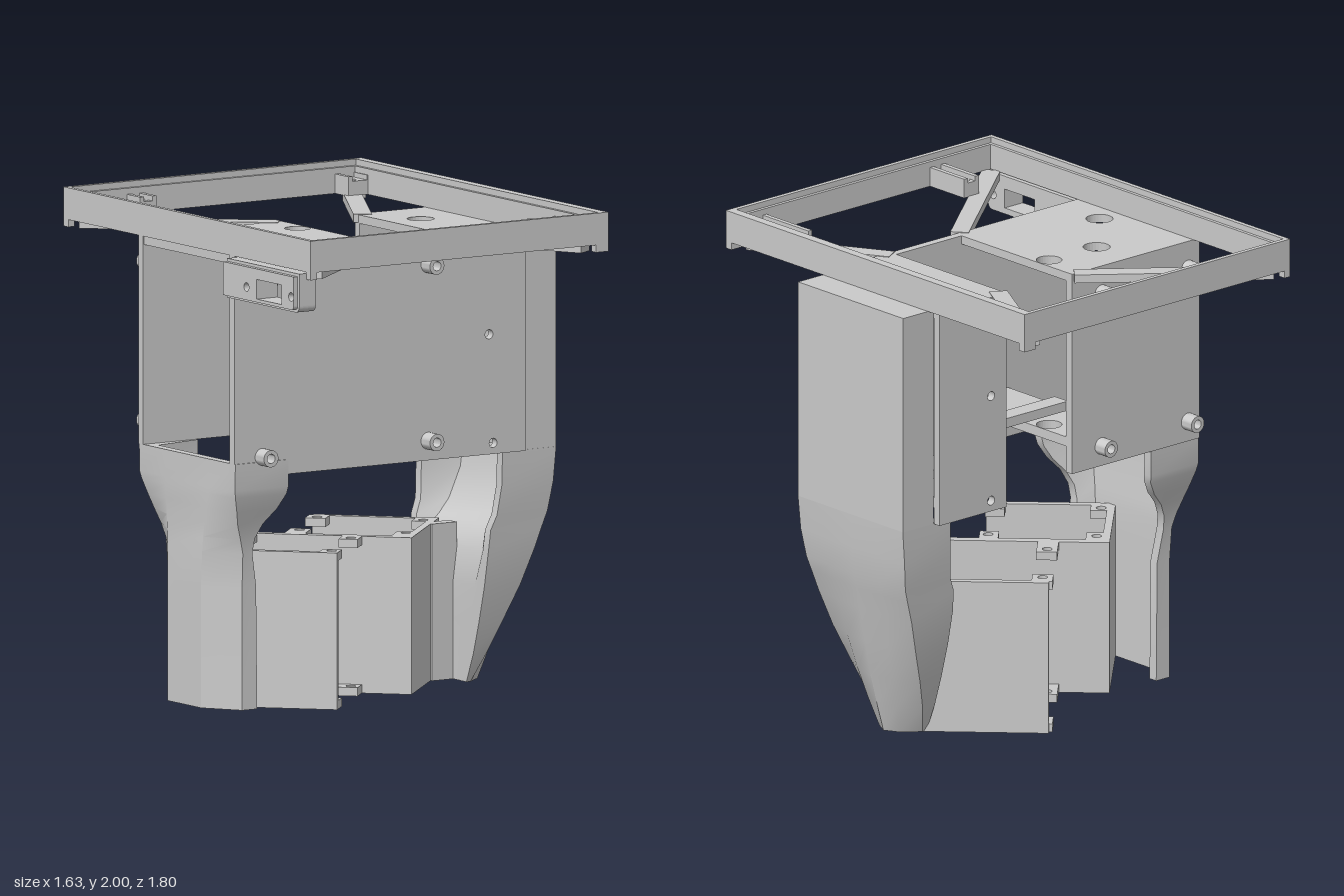
import * as THREE from 'three';
import { toCreasedNormals } from 'three/addons/utils/BufferGeometryUtils.js';

const grey = new THREE.MeshStandardMaterial({ color: 0xcacaca });
grey.name = 'plain grey';

function add(parent, name, geometry) {
  const mesh = new THREE.Mesh(geometry, grey);
  mesh.name = name;
  parent.add(mesh);
  return mesh;
}

function box(parent, name, x0, x1, y0, y1, z0, z1) {
  const g = new THREE.BoxGeometry(x1 - x0, y1 - y0, z1 - z0);
  return add(parent, name, g.translate((x0 + x1) / 2, (y0 + y1) / 2, (z0 + z1) / 2));
}

const points = list => list.map(p => new THREE.Vector2(...p));

// Rectangle with round holes, each [u, v, radius]
function sheet(u0, u1, v0, v1, holes, depth) {
  const s = new THREE.Shape(points([[u0, v0], [u1, v0], [u1, v1], [u0, v1]]));
  for (const [u, v, r] of holes) s.holes.push(new THREE.Path().absarc(u, v, r, 0, Math.PI * 2, true));
  return new THREE.ExtrudeGeometry(s, { depth, bevelEnabled: false, curveSegments: 14 });
}

// Horizontal plate; holes are [x, z, radius]
function plate(parent, name, x0, x1, z0, z1, y0, y1, holes) {
  const g = sheet(x0, x1, -z1, -z0, holes.map(([x, z, r]) => [x, -z, r]), y1 - y0);
  return add(parent, name, g.rotateX(-Math.PI / 2).translate(0, y0, 0));
}

// Upright panel facing z; holes are [x, y, radius]
function panel(parent, name, x0, x1, y0, y1, z0, z1, holes) {
  return add(parent, name, sheet(x0, x1, y0, y1, holes, z1 - z0).translate(0, 0, z0));
}

// Hollow screw boss along z
function boss(parent, x, y, z0, z1) {
  const s = new THREE.Shape().absarc(0, 0, 0.035, 0, Math.PI * 2, false);
  s.holes.push(new THREE.Path().absarc(0, 0, 0.019, 0, Math.PI * 2, true));
  const g = new THREE.ExtrudeGeometry(s, { depth: z1 - z0, bevelEnabled: false, curveSegments: 14 });
  add(parent, 'screwBoss', toCreasedNormals(g, 0.6).translate(x, y, z0));
}

// Solid skinned through level outlines, listed from the bottom up
function loft(parent, name, levels) {
  const pos = [];
  const n = levels[0].pts.length;
  const at = (i, j) => [levels[i].pts[j % n][0], levels[i].y, levels[i].pts[j % n][1]];
  const top = levels.length - 1;
  for (let i = 0; i < top; i++) {
    for (let j = 0; j < n; j++) {
      const a = at(i, j), b = at(i, j + 1), c = at(i + 1, j + 1), d = at(i + 1, j);
      pos.push(...a, ...b, ...c, ...a, ...c, ...d);
    }
  }
  const cap = i => THREE.ShapeUtils.triangulateShape(points(levels[i].pts.map(([x, z]) => [x, -z])), []);
  for (const [a, b, c] of cap(top)) pos.push(...at(top, a), ...at(top, b), ...at(top, c));
  for (const [a, b, c] of cap(0)) pos.push(...at(0, a), ...at(0, c), ...at(0, b));
  const g = new THREE.BufferGeometry();
  g.setAttribute('position', new THREE.Float32BufferAttribute(pos, 3));
  return add(parent, name, toCreasedNormals(g, 0.5));
}

// Side lug layer with a rectangular slot, inset by e
function slottedLug(parent, x0, x1, e) {
  const s = new THREE.Shape();
  s.moveTo(-0.345, 1.705 + e).lineTo(-0.345, 1.865 - e).lineTo(-0.87 + e, 1.865 - e).lineTo(-0.87 + e, 1.735);
  s.quadraticCurveTo(-0.87 + e, 1.705 + e, -0.84, 1.705 + e);
  s.holes.push(new THREE.Path(points([[-0.77, 1.73], [-0.77, 1.81], [-0.59, 1.81], [-0.59, 1.73]])));
  for (const u of [-0.84, -0.515]) s.holes.push(new THREE.Path().absarc(u, 1.77, 0.018, 0, Math.PI * 2, true));
  const g = new THREE.ExtrudeGeometry(s, { depth: x1 - x0, bevelEnabled: false });
  add(parent, 'slottedLug', g.rotateY(Math.PI / 2).translate(x0, 0, 0));
}

function buildFrame() {
  const g = new THREE.Group();
  g.name = 'topFrame';
  // Walls, with a lower ledge inside
  for (const [y1, t] of [[2, 0.02], [1.975, 0.035]]) {
    box(g, 'leftWall', -0.765, -0.765 + t, 1.87, y1, -0.9, 0.9);
    box(g, 'rightWall', 0.66 - t, 0.68, 1.87, y1, -0.9, 0.9);
    for (const s of [-1, 1]) {
      const a = s * 0.9, b = s * (0.9 - t);
      box(g, 'endWall', -0.765, 0.68, 1.87, y1, Math.min(a, b), Math.max(a, b));
    }
  }
  for (const s of [-1, 1]) {
    // Corner feet
    const z0 = s > 0 ? 0.865 : -0.9;
    box(g, 'cornerFoot', -0.765, -0.735, 1.84, 1.88, z0, z0 + 0.035);
    box(g, 'cornerFoot', 0.62, 0.68, 1.84, 1.88, z0, z0 + 0.035);
    // Diagonal braces
    for (const [x0, za, x1, zb] of [[-0.72, 0.85, -0.09, 0.345], [0.6, 0.85, 0.3, 0.32]]) {
      const dx = x1 - x0, dz = (zb - za) * s;
      const brace = add(g, 'diagonalBrace', new THREE.BoxGeometry(Math.hypot(dx, dz), 0.035, 0.075));
      brace.position.set((x0 + x1) / 2, 1.855, s * (za + zb) / 2);
      brace.rotation.y = Math.atan2(-dz, dx);
    }
  }
  // Screw lugs
  for (const [x0, x1, z0, z1, hx, hz] of [
    [-0.48, -0.4, -0.88, -0.77, -0.44, -0.81], [0.53, 0.64, -0.88, -0.77, 0.57, -0.81],
    [-0.48, -0.4, 0.66, 0.88, -0.44, 0.7], [0.49, 0.64, 0.59, 0.88, 0.57, 0.7]]) {
    plate(g, 'screwLug', x0, x1, z0, z1, 1.87, 1.93, [[hx, hz, 0.02]]);
    box(g, 'lugRib', x0, x0 + 0.02, 1.92, 1.95, z0, z1);
    box(g, 'lugRib', x1 - 0.02, x1, 1.92, 1.95, z0, z1);
  }
  slottedLug(g, -0.82, -0.8, 0.012);
  slottedLug(g, -0.8, -0.72, 0);
  return g;
}

function buildBody() {
  const g = new THREE.Group();
  g.name = 'body';
  const leftHoles = [[-0.38, -0.16, 0.055], [-0.12, -0.155, 0.055], [-0.63, 0.1, 0.055]];
  const rightHoles = [[0.435, -0.1, 0.055]];
  // Top plates and floors with access holes
  plate(g, 'leftTopPlate', -0.76, -0.07, -0.33, 0.32, 1.835, 1.87, [leftHoles[0], [-0.126, -0.155, 0.052], leftHoles[2]]);
  plate(g, 'rightTopPlate', 0.285, 0.65, -0.33, 0.32, 1.835, 1.87, rightHoles);
  plate(g, 'leftFloor', -0.32, -0.07, -0.33, 0.32, 1.13, 1.17, [[-0.126, -0.155, 0.052]]);
  plate(g, 'rightFloor', 0.285, 0.65, -0.33, 0.32, 1.03, 1.07, rightHoles);
  box(g, 'rearCrossbar', -0.08, 0.295, 1.28, 1.32, -0.32, -0.24);
  // Front and rear panels
  const pins = (xa, xb) => [[xa, 1.45, 0.019], [xb, 1.005, 0.019]];
  panel(g, 'frontPanel', -0.765, 0.65, 0.96, 1.87, 0.31, 0.345, pins(0.47, 0.49));
  panel(g, 'rearLeftPanel', -0.765, -0.07, 1.02, 1.87, -0.355, -0.32, []);
  panel(g, 'rearRightPanel', 0.285, 0.65, 0.96, 1.87, -0.355, -0.32, pins(0.37, 0.37));
  for (const x of [-0.63, 0.175]) for (const y of [1.76, 1.04]) boss(g, x, y, 0.345, 0.41);
  for (const x of [-0.7, -0.23]) for (const y of [1.755, 1.105]) boss(g, x, y, -0.415, -0.355);
  return g;
}

function buildLegs() {
  const g = new THREE.Group();
  g.name = 'legs';
  // Broad tapering leg, hollowed near the top: height, inner x, shoulder x, outer x, half width, hollow depth
  const broad = [
    [0, 0.51, 0.53, 0.635, 0.12, 0], [0.12, 0.51, 0.575, 0.67, 0.17, 0], [0.25, 0.51, 0.625, 0.705, 0.21, 0],
    [0.4, 0.51, 0.685, 0.735, 0.25, 0], [0.55, 0.51, 0.735, 0.765, 0.28, 0.02], [0.64, 0.515, 0.765, 0.782, 0.29, 0.08],
    [0.7, 0.54, 0.785, 0.795, 0.298, 0.11], [0.82, 0.553, 0.803, 0.808, 0.313, 0.16], [0.96, 0.555, 0.815, 0.815, 0.316, 0.18]];
  loft(g, 'broadLeg', broad.map(([y, xi, xs, xo, w, h]) => {
    const xm = xo - (xo - xs) * 0.3, xc = xi + 0.002 + h, v = w - 0.04;
    return { y, pts: [
      [xi, w], [xs, w], [xm, w * 0.5], [xo, 0], [xm, -w * 0.5], [xs, -w],
      [xi, -w], [xi, -v], [xc, -v * 0.85], [xc, v * 0.85], [xi, v]] };
  }));
  box(g, 'broadLegUpper', 0.65, 0.815, 0.96, 1.87, -0.318, 0.315);
  box(g, 'broadLegRoot', 0.41, 0.53, 0, 0.64, -0.035, 0.02);
  // Slim channel-shaped leg flaring up to the body: height, inner x, outer x, corner cut, half width
  const slim = [
    [0, -0.605, -0.778, 0.1, 0.27], [0.5, -0.61, -0.778, 0.1, 0.27], [0.64, -0.635, -0.776, 0.095, 0.28],
    [0.7, -0.63, -0.774, 0.075, 0.29], [0.76, -0.6, -0.772, 0.05, 0.305], [0.82, -0.545, -0.77, 0.03, 0.325],
    [0.88, -0.51, -0.768, 0.01, 0.342], [0.91, -0.505, -0.766, 0.002, 0.348], [1.02, -0.505, -0.765, 0.001, 0.35]];
  loft(g, 'slimLeg', slim.map(([y, xi, xo, c, w]) => {
    const xc = xo + 0.04 + c * 0.4, v = w - 0.04;
    return { y, pts: [
      [xo + c, w], [xi, w], [xi, v], [xc, v - 0.04], [xc, 0.04 - v], [xi, -v],
      [xi, -w], [xo + c, -w], [xo, -w * 0.45], [xo, w * 0.45]] };
  }));
  return g;
}

// Two channels set at 45 degrees; s = x + z and d = x - z
function buildBracket() {
  const g = new THREE.Group();
  g.name = 'zigzagBracket';
  g.rotation.y = -Math.PI / 4;
  const k = Math.SQRT1_2;
  const wall = (name, s0, s1, d0, d1) => box(g, name, s0 * k, s1 * k, 0, 0.64, -d1 * k, -d0 * k);
  wall('outerWall', -0.62, 0.12, -0.82, -0.775);
  wall('sharedWall', -0.62, 0.42, -0.155, -0.1);
  wall('farWall', -0.31, 0.42, 0.6, 0.645);
  wall('channelBackWall', -0.62, -0.575, -0.82, -0.1);
  wall('channelBackWall', 0.375, 0.42, -0.155, 0.645);
  // Bottom ledges and top clips with screw holes: ends in s, edges in d, hole line
  for (const [s0, s1, d0, d1, hd] of [
    [-0.6, 0.12, -0.79, -0.68, -0.73], [-0.6, 0.13, -0.28, -0.12, -0.22],
    [-0.33, 0.4, -0.12, 0.085, 0.03], [-0.33, 0.4, 0.49, 0.62, 0.54]]) {
    const ha = s0 + 0.06, hb = s1 - 0.05;
    const spot = s => [s * k, -hd * k, 0.02];
    plate(g, 'bottomLedge', s0 * k, s1 * k, -d1 * k, -d0 * k, 0, 0.035, [spot(ha), spot(hb)]);
    plate(g, 'topClip', s0 * k, (ha + 0.06) * k, -d1 * k, -d0 * k, 0.605, 0.64, [spot(ha)]);
    plate(g, 'topClip', (hb - 0.06) * k, s1 * k, -d1 * k, -d0 * k, 0.605, 0.64, [spot(hb)]);
  }
  return g;
}

export function createModel() {
  const model = new THREE.Group();
  model.name = 'deviceMount';
  model.add(buildFrame(), buildBody(), buildLegs(), buildBracket());
  return model;
}
